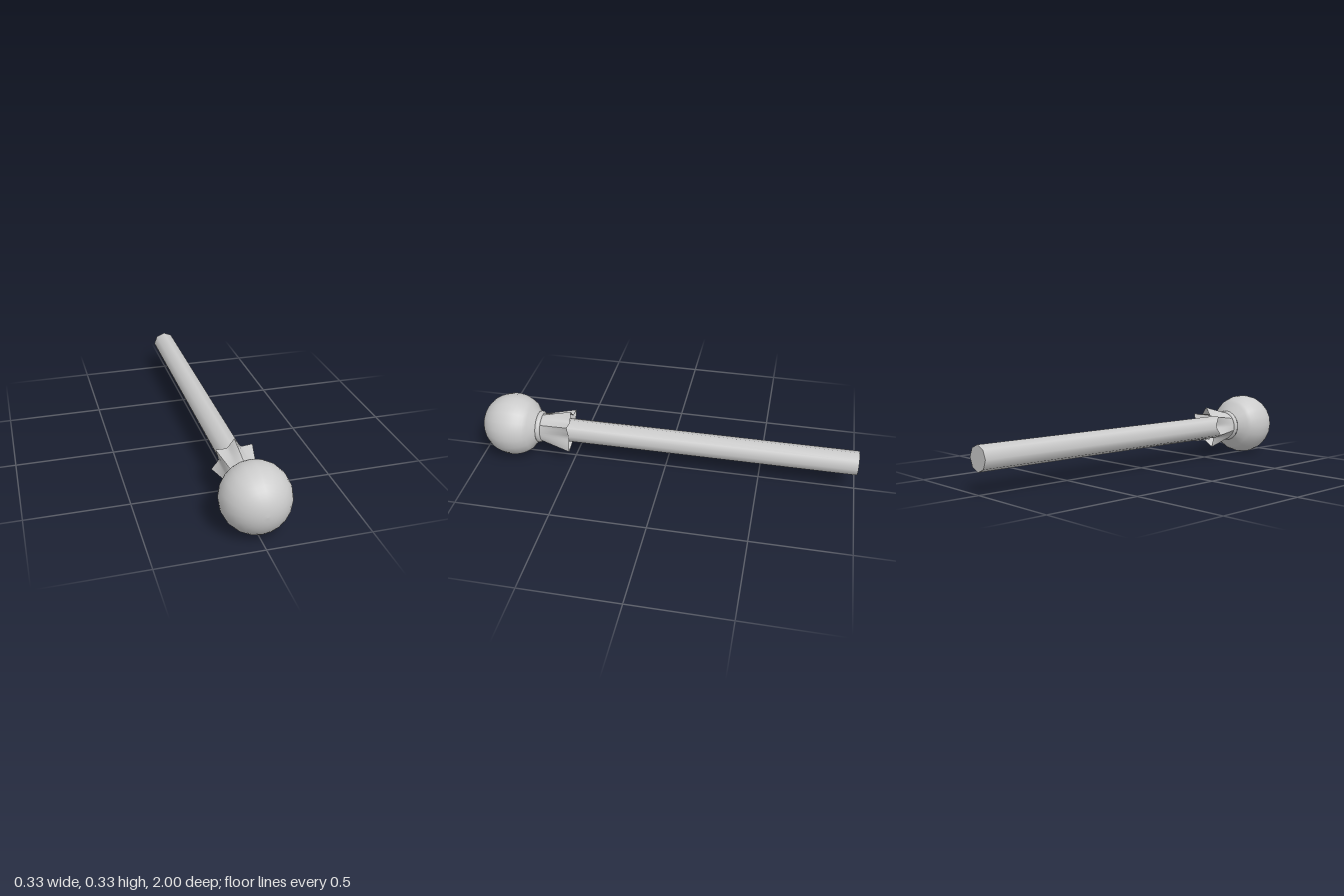
import * as THREE from 'three';

const AXIS_Y = 0.168;
const material = new THREE.MeshStandardMaterial({ color: 0xcccccc });
const thin = new THREE.MeshStandardMaterial({ color: 0xcccccc, side: THREE.DoubleSide });

// Turn a profile of [radius, z] points around the long axis
function turned(name, points, sides) {
  const geometry = new THREE.LatheGeometry(points.map(([r, z]) => new THREE.Vector2(r, z)), sides);
  geometry.rotateX(Math.PI / 2);
  const mesh = new THREE.Mesh(geometry, material);
  mesh.name = name;
  return mesh;
}

// One flared panel between two points of the star-shaped rim, with a concave edge
function skirtPanel(start, end, notch) {
  const cols = 8, rows = 2, zNeck = 0.675, zRim = 0.51, rNeck = 0.075;
  const position = [], index = [];
  for (let j = 0; j <= rows; j++) {
    for (let i = 0; i <= cols; i++) {
      const u = i / cols, v = j / rows;
      const angle = THREE.MathUtils.degToRad(start[0] + (end[0] - start[0]) * u);
      const tip = start[1] + (end[1] - start[1]) * u;
      const rim = notch + (tip - notch) * Math.pow(Math.abs(2 * u - 1), 1.7);
      const r = rNeck + (rim - rNeck) * v;
      position.push(r * Math.cos(angle), r * Math.sin(angle), zNeck + (zRim - zNeck) * v);
      if (i < cols && j < rows) {
        const a = j * (cols + 1) + i, b = a + cols + 1;
        index.push(a, b, a + 1, a + 1, b, b + 1);
      }
    }
  }
  const geometry = new THREE.BufferGeometry();
  geometry.setAttribute('position', new THREE.Float32BufferAttribute(position, 3));
  geometry.setIndex(index);
  geometry.computeVertexNormals();
  // The outside must face away from the axis
  const p = geometry.attributes.position, n = geometry.attributes.normal;
  if (p.getX(4) * n.getX(4) + p.getY(4) * n.getY(4) < 0) {
    geometry.setIndex(index.map((_, k) => index[k - (k % 3) + 2 - (k % 3)]));
    geometry.computeVertexNormals();
  }
  return new THREE.Mesh(geometry, thin);
}

export function createModel() {
  const model = new THREE.Group();
  model.name = 'ballOnStick';
  const body = new THREE.Group();
  body.name = 'body';
  body.position.y = AXIS_Y;
  model.add(body);

  // Wrapped ball, drawn in towards the neck at the back
  const profile = [[0.083, 0.694]];
  for (let i = 0; i <= 16; i++) {
    const t = THREE.MathUtils.lerp(-0.68, Math.PI / 2, i / 16);
    profile.push([Math.max(0, 0.167 * Math.cos(t)), 0.833 + 0.167 * Math.sin(t)]);
  }
  body.add(turned('ball', profile, 20));

  // Tie band around the neck
  body.add(turned('tieBand', [[0.06, 0.67], [0.078, 0.67], [0.084, 0.676], [0.085, 0.69], [0.08, 0.697], [0.06, 0.7]], 20));

  // Loose end of the wrapper: rim points as [degrees, radius], then the notch after each
  const tips = [[40, 0.118], [90, 0.118], [142, 0.115], [196, 0.115], [245, 0.114], [315, 0.12], [400, 0.118]];
  const notches = [0.08, 0.08, 0.078, 0.078, 0.07, 0.066];
  const skirt = new THREE.Group();
  skirt.name = 'wrapperSkirt';
  notches.forEach((notch, i) => skirt.add(skirtPanel(tips[i], tips[i + 1], notch)));
  body.add(skirt);

  // Stick
  const stickGeometry = new THREE.CylinderGeometry(0.063, 0.063, 1.75, 8);
  stickGeometry.rotateX(Math.PI / 2);
  const stick = new THREE.Mesh(stickGeometry, material);
  stick.name = 'stick';
  stick.position.z = -0.125;
  body.add(stick);

  return model;
}
